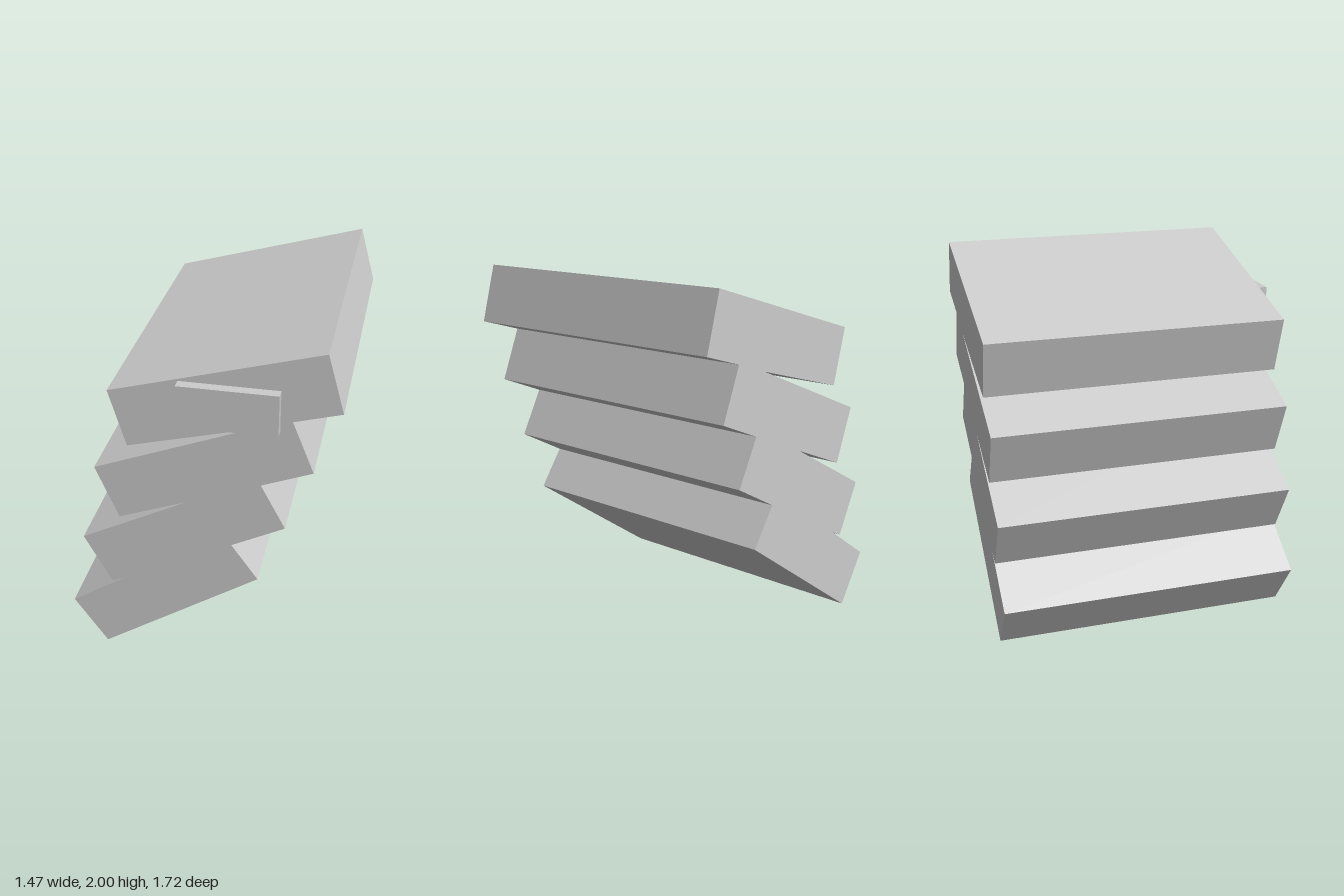
import * as THREE from 'three';

const gray = new THREE.MeshStandardMaterial({ color: 0xcccccc });
gray.name = 'light gray';

const FRONT = 0.805, BACK = -0.86;

// Side outline of four fanned slabs, merged into one solid, counterclockwise
const outline = [
  // right-hand steps, bottom to top
  [-0.555, 0], [0.325, 0.6], [0.18, 0.81], [0.465, 0.963], [0.333, 1.217],
  [0.6, 1.326], [0.486, 1.613], [0.731, 1.685], [0.643, 2],
  // left-hand ends and the wedge gaps between slabs, top to bottom
  [-0.457, 1.686], [-0.368, 1.371], [0.275, 1.546], [-0.555, 1.213],
  [-0.433, 0.91], [-0.055, 1.06], [-0.648, 0.743], [-0.497, 0.455],
  [-0.422, 0.49], [-0.737, 0.277],
];

export function createModel() {
  const model = new THREE.Group();
  model.name = 'slabStack';

  // Stack of tilted slabs
  const shape = new THREE.Shape(outline.map(([x, y]) => new THREE.Vector2(x, y)));
  const slabs = new THREE.Mesh(
    new THREE.ExtrudeGeometry(shape, { depth: FRONT - BACK, bevelEnabled: false }), gray);
  slabs.name = 'tiltedSlabs';
  slabs.position.z = BACK;
  model.add(slabs);

  // Small level plate on the front of the top slab
  const plate = new THREE.Mesh(new THREE.BoxGeometry(0.515, 0.23, 0.055), gray);
  plate.name = 'frontPlate';
  plate.position.set(0.167, 1.665, FRONT + 0.0275);
  model.add(plate);

  return model;
}
